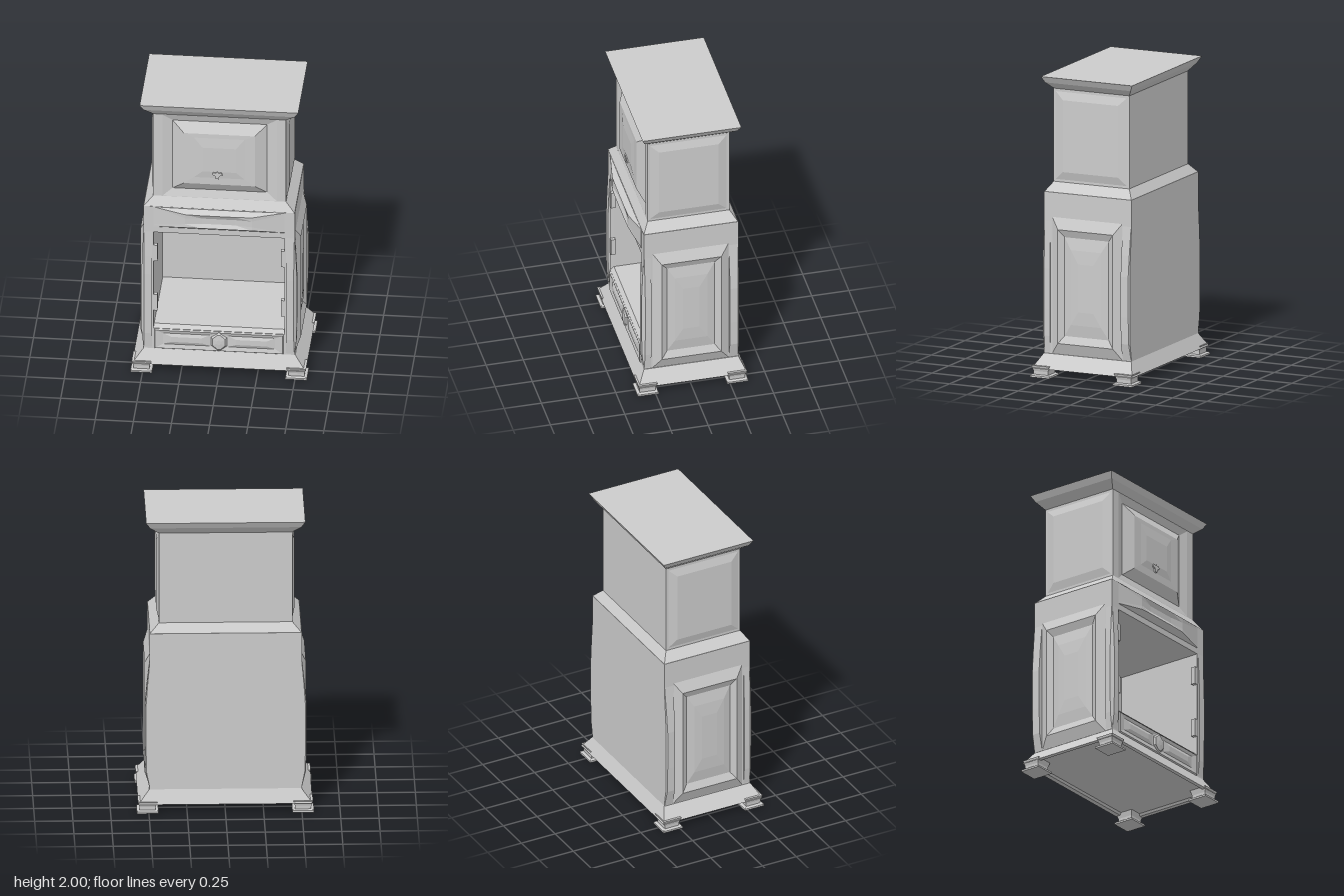
import * as THREE from 'three';

const material = new THREE.MeshStandardMaterial({ color: 0xcccccc, flatShading: true });

// Faceted skin over rings of equal point count, each counter-clockwise about the direction of travel
function loft(name, rings, capStart = true, capEnd = true) {
  const pos = [];
  const tri = (a, b, c) => pos.push(...a, ...b, ...c);
  for (let r = 0; r < rings.length - 1; r++) {
    const a = rings[r], b = rings[r + 1];
    for (let i = 0; i < a.length; i++) {
      const j = (i + 1) % a.length;
      tri(a[i], a[j], b[j]);
      tri(a[i], b[j], b[i]);
    }
  }
  const first = rings[0], last = rings[rings.length - 1];
  for (let i = 1; i < first.length - 1; i++) {
    if (capStart) tri(first[0], first[i + 1], first[i]);
    if (capEnd) tri(last[0], last[i], last[i + 1]);
  }
  const geometry = new THREE.BufferGeometry();
  geometry.setAttribute('position', new THREE.Float32BufferAttribute(pos, 3));
  geometry.computeVertexNormals();
  const mesh = new THREE.Mesh(geometry, material);
  mesh.name = name;
  return mesh;
}

// Rectangles facing +z: [half width, bottom, top, z]
const upright = (list, cx = 0) => list.map(([w, y0, y1, z]) =>
  [[cx - w, y0, z], [cx + w, y0, z], [cx + w, y1, z], [cx - w, y1, z]]);

// Horizontal rectangles stacked upward: [y, half width, front z, back z]
const stack = (name, list) => loft(name, list.map(([y, w, f, b]) =>
  [[-w, y, f], [w, y, f], [w, y, b], [-w, y, b]]));

function box(name, w, h, d, x, y, z) {
  const mesh = new THREE.Mesh(new THREE.BoxGeometry(w, h, d), material);
  mesh.position.set(x, y, z);
  mesh.name = name;
  return mesh;
}

export function createModel() {
  const model = new THREE.Group();
  model.name = 'cabinetStove';
  const cabinet = new THREE.Group();
  cabinet.name = 'cabinet';
  cabinet.position.x = -0.003;
  model.add(cabinet);

  // Plinth with a shallow hollow underneath
  model.add(stack('plinth', [
    [0.075, 0.53, 0.325, -0.325], [0.06, 0.54, 0.335, -0.335],
    [0.06, 0.57, 0.363, -0.368], [0.152, 0.497, 0.31, -0.325],
  ]));

  // Feet: thin pad and tapered neck
  for (const sx of [-1, 1]) for (const sz of [-1, 1]) {
    const foot = new THREE.Group();
    foot.name = 'foot';
    foot.add(
      stack('footPad', [[0, 0.071, 0.071, -0.071], [0.012, 0.071, 0.071, -0.071], [0.018, 0.062, 0.062, -0.062]]),
      stack('footNeck', [[0.018, 0.052, 0.052, -0.052], [0.04, 0.053, 0.053, -0.053], [0.078, 0.064, 0.064, -0.064]]),
    );
    foot.position.set(sx * 0.508, 0, sz * 0.301);
    model.add(foot);
  }

  // Lower body wrapped around an open niche
  cabinet.add(loft('lowerBody', upright([
    [0.497, 0.15, 1.23, -0.325], [0.497, 0.15, 1.23, 0.31],
    [0.43, 0.305, 1.035, 0.31], [0.428, 0.328, 1.033, 0.285], [0.428, 0.328, 1.033, -0.305],
  ])));

  // Hinges inside the niche
  for (const s of [-1, 1]) for (const y of [0.5, 0.875])
    cabinet.add(box('hinge', 0.024, 0.12, 0.03, s * 0.417, y, 0.295));

  // Bowed corner posts with chamfered outer edge
  for (const sx of [-1, 1]) for (const sz of [-1, 1]) {
    const bowX = sz > 0 ? 0.014 : 0.033, bowZ = sz > 0 ? 0.014 : 0;
    const zo = sz > 0 ? 0.309 : 0.325;
    const rings = [[0.152, 0], [0.27, 0.85], [0.45, 1], [0.72, 1], [0.86, 0.65], [1.06, 0]].map(([y, b]) => {
      const x = 0.496 + bowX * b, z = zo + bowZ * b, c = 0.002 + (sz > 0 ? 0.018 : 0.006) * b;
      const ring = [[0.44, z], [x - c, z], [x, z - c], [x, 0.262], [0.44, 0.262]]
        .map(([px, pz]) => [px * sx, y, pz * sz]);
      return sx * sz < 0 ? ring.reverse() : ring;
    });
    cabinet.add(loft('cornerPost', rings));
  }

  // Side panels of the lower body and the upper body
  for (const s of [-1, 1]) {
    const lower = loft('lowerSidePanel', upright([
      [0.258, 0.15, 1.07, 0.495], [0.2, 0.23, 0.99, 0.527], [0.16, 0.28, 0.94, 0.505],
      [0.11, 0.36, 0.86, 0.517], [0.055, 0.45, 0.77, 0.522],
    ]), false);
    const upper = loft('upperSidePanel', upright([
      [0.265, 1.3, 1.9, 0.434], [0.2, 1.36, 1.84, 0.451],
    ]), false);
    for (const p of [lower, upper]) {
      p.rotation.y = s * Math.PI / 2;
      p.position.z = -0.004;
      cabinet.add(p);
    }
  }

  // Pair of drawer fronts and the faceted boss between them
  for (const s of [-1, 1]) {
    cabinet.add(loft('drawerFront', upright([
      [0.212, 0.153, 0.303, 0.309], [0.205, 0.16, 0.295, 0.319],
      [0.155, 0.19, 0.272, 0.312], [0.1, 0.212, 0.25, 0.321],
    ], s * 0.213), false));
  }
  const bossRing = (r, z) => [[-1, -0.45], [-0.2, -1], [0.2, -1], [1, -0.45], [1, 0.45], [0.2, 1], [-0.2, 1], [-1, 0.45]]
    .map(([x, y]) => [x * 0.055 * r, 0.228 + y * 0.073 * r, z]);
  cabinet.add(loft('drawerBoss', [bossRing(1, 0.309), bossRing(0.75, 0.326), bossRing(0.25, 0.33)], false));

  // Projecting lintel, waisted toward the middle
  const lintelRing = (x, k, groove) => [
    [x, 1.228 - 0.002 * k, 0.308], [x, 1.228 - 0.028 * k, 0.31 + 0.04 * k],
    [x, 1.215 - 0.045 * k, 0.31 + 0.04 * k - groove], [x, 1.09 + 0.04 * k, 0.31 + 0.04 * k - groove],
    [x, 1.078 + 0.026 * k, 0.31 + 0.04 * k], [x, 1.075, 0.308],
  ].reverse();
  cabinet.add(loft('lintel', [
    lintelRing(-0.43, 0.02, 0), lintelRing(-0.22, 0.95, 0.002), lintelRing(-0.11, 1, 0.016),
    lintelRing(0.11, 1, 0.016), lintelRing(0.22, 0.95, 0.002), lintelRing(0.43, 0.02, 0),
  ].map((ring) => ring.reverse())));

  // Sloping shoulder between the two bodies
  cabinet.add(stack('shoulder', [[1.228, 0.497, 0.31, -0.325], [1.29, 0.436, 0.27, -0.28]]));

  // Upper body with splayed recess and raised door
  cabinet.add(loft('upperBody', upright([
    [0.436, 1.288, 1.912, -0.28], [0.436, 1.288, 1.912, 0.27], [0.375, 1.292, 1.908, 0.27],
    [0.31, 1.345, 1.86, 0.252],
  ]), true, false));
  cabinet.add(loft('upperDoor', upright([
    [0.31, 1.345, 1.86, 0.252], [0.233, 1.41, 1.79, 0.294],
    [0.165, 1.46, 1.76, 0.295], [0.11, 1.51, 1.69, 0.302],
  ]), false));

  // Small winged latch
  const latch = new THREE.Shape();
  [[-0.01, -0.03], [0.01, -0.03], [0.014, -0.008], [0.033, 0], [0.028, 0.018], [0.01, 0.014],
    [0, 0.024], [-0.01, 0.014], [-0.028, 0.018], [-0.033, 0], [-0.014, -0.008]]
    .forEach(([x, y], i) => (i ? latch.lineTo(x, y) : latch.moveTo(x, y)));
  const latchMesh = new THREE.Mesh(new THREE.ExtrudeGeometry(latch, { depth: 0.014, bevelEnabled: false }), material);
  latchMesh.position.set(-0.012, 1.49, 0.295);
  latchMesh.name = 'latch';
  cabinet.add(latchMesh);

  // Flaring crown
  cabinet.add(stack('crown', [
    [1.91, 0.434, 0.268, -0.279], [1.958, 0.495, 0.305, -0.318], [2, 0.52, 0.323, -0.341],
  ]));

  return model;
}
